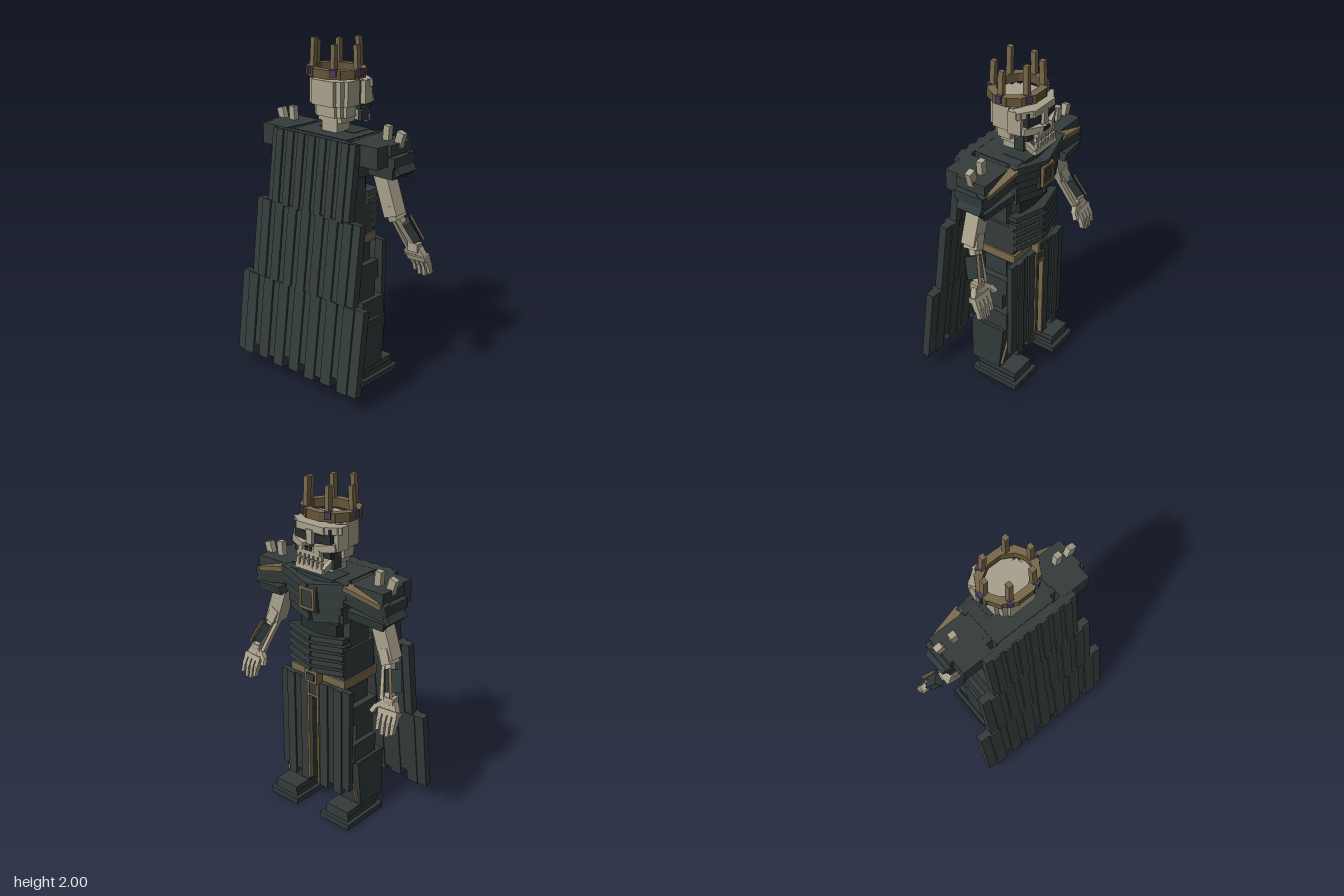
import * as THREE from 'three';

const mat = (name, color) => Object.assign(new THREE.MeshStandardMaterial({ color }), { name });

export function createModel() {
  const root = new THREE.Group();
  root.name = 'skeletonKing';
  const cloth = mat('dark cloth', 0x343c3b), dark = mat('dark armour', 0x303939);
  const bone = mat('bone', 0xa8a18d), gold = mat('old gold', 0x77684b);
  const bronze = mat('bronze', 0x63553a), gem = mat('purple gem', 0x4a3b5c);
  const hollow = mat('hollow', 0x262d2d);

  let part = root;
  const group = (name) => {
    part = new THREE.Group();
    part.name = name;
    root.add(part);
  };
  // box by size, centre and rotation
  const box = (name, m, [w, h, d], [x, y, z], [rx, ry, rz] = [0, 0, 0]) => {
    const mesh = new THREE.Mesh(new THREE.BoxGeometry(w, h, d), m);
    mesh.name = name;
    mesh.position.set(x, y, z);
    mesh.rotation.set(rx, ry, rz);
    part.add(mesh);
    return mesh;
  };
  // box and its mirror image across x = 0
  const pair = (name, m, size, [x, y, z], [rx, ry, rz] = [0, 0, 0]) => {
    for (const s of [1, -1]) box(name, m, size, [s * x, y, z], [rx, s * ry, s * rz]);
  };
  // mirrored bars that run from a to b, twisted about their length
  const barPair = (name, m, a, b, w, d, twist = 0) => {
    for (const s of [1, -1]) {
      const p = new THREE.Vector3(s * a[0], a[1], a[2]), q = new THREE.Vector3(s * b[0], b[1], b[2]);
      const dir = p.clone().sub(q);
      const mid = p.clone().add(q).multiplyScalar(0.5);
      const mesh = box(name, m, [w, dir.length(), d], mid.toArray());
      mesh.quaternion.setFromUnitVectors(new THREE.Vector3(0, 1, 0), dir.normalize());
      mesh.rotateY(s * twist);
    }
  };

  // Crown: twelve faceted ring segments, six spikes and gems
  group('crown');
  const cz = -0.08;
  for (let i = 0; i < 12; i++) {
    const a = (i / 12) * Math.PI * 2;
    box('crownBand', [bronze, bronze, gold, bronze, bronze, bronze], [0.088, 0.05, 0.042],
      [Math.sin(a) * 0.15, 1.815, cz + Math.cos(a) * 0.124], [0, a, 0]);
  }
  const spikeHeights = [0.165, 0.16, 0.19];
  for (let i = 0; i < 6; i++) {
    const a = Math.PI / 6 + (i / 6) * Math.PI * 2, h = spikeHeights[i % 3];
    const x = Math.sin(a) * 0.155, z = Math.cos(a) * 0.13;
    box('crownSpike', gold, [0.028, h, 0.03], [x * 0.95, 1.81 + h / 2, cz + z * 0.93],
      [-Math.cos(a) * 0.05, 0, Math.sin(a) * 0.05]);
    box('crownGem', gem, [0.034, 0.04, 0.03], [x * 1.08, 1.825, cz + z * 1.08], [0, a, 0]);
  }

  // Skull: cranium stepped to a round plan, brow, eye hollows, cheeks and jaw
  group('skull');
  for (const [w, d] of [[0.16, 0.21], [0.225, 0.165], [0.275, 0.1]]) {
    box('cranium', bone, [w, 0.14, d], [0, 1.705, -0.065]);
    box('craniumBase', bone, [w * 0.84, 0.07, d * 0.8], [0, 1.605, -0.07]);
  }
  box('neck', bone, [0.11, 0.12, 0.11], [0, 1.535, -0.075]);
  box('neckCollar', bone, [0.17, 0.05, 0.11], [0, 1.56, -0.08]);
  box('faceCore', hollow, [0.25, 0.16, 0.09], [0, 1.68, -0.185]);
  box('brow', bone, [0.19, 0.04, 0.1], [0, 1.752, -0.2]);
  pair('browSide', bone, [0.09, 0.04, 0.06], [0.115, 1.752, -0.19], [0, -0.6, 0]);
  pair('temple', bone, [0.03, 0.13, 0.075], [0.145, 1.705, -0.165], [0, 0.15, 0]);
  pair('eyeHollow', hollow, [0.075, 0.045, 0.01], [0.065, 1.7, -0.232], [0, -0.25, 0]);
  box('noseBridge', bone, [0.04, 0.08, 0.04], [0, 1.705, -0.238]);
  pair('cheekbone', bone, [0.12, 0.04, 0.05], [0.085, 1.655, -0.222], [0, -0.4, 0.12]);
  box('upperJaw', bone, [0.15, 0.035, 0.05], [0, 1.625, -0.235]);
  pair('noseHollow', hollow, [0.016, 0.024, 0.008], [0.014, 1.643, -0.262]);
  pair('cheekPlate', dark, [0.025, 0.09, 0.06], [0.115, 1.58, -0.175]);
  barPair('jawSide', bone, [0.115, 1.61, -0.15], [0.09, 1.535, -0.245], 0.025, 0.035);
  box('chin', bone, [0.19, 0.03, 0.035], [0, 1.53, -0.245], [0.25, 0, 0]);
  for (let i = 0; i < 6; i++) {
    const x = (i - 2.5) * 0.031;
    box('upperTooth', bone, [0.02, 0.028, 0.02], [x, 1.6, -0.248]);
    box('lowerTooth', bone, [0.02, 0.04, 0.02], [x, 1.558, -0.252]);
  }

  // Torso: chest, abdomen, rib plates and emblem
  group('torso');
  box('chest', cloth, [0.39, 0.24, 0.27], [0, 1.36, -0.075]);
  box('upperBack', cloth, [0.37, 0.15, 0.2], [0, 1.4, -0.025]);
  box('abdomen', cloth, [0.35, 0.26, 0.16], [0, 1.17, -0.05]);
  box('waist', cloth, [0.38, 0.2, 0.255], [0, 0.97, -0.062]);
  box('collar', dark, [0.26, 0.03, 0.14], [0, 1.468, -0.15]);
  for (let i = 0; i < 5; i++)
    pair('chestPlate', i % 2 ? dark : cloth, [0.24 - i * 0.018, 0.045, 0.06],
      [0.115 - i * 0.007, 1.445 - i * 0.047, -0.222 + i * 0.004], [0, -0.22, 0.16]);
  box('sternum', dark, [0.12, 0.15, 0.06], [0, 1.365, -0.238]);
  box('emblemPlate', cloth, [0.08, 0.1, 0.02], [0, 1.365, -0.27]);
  pair('emblemSide', gold, [0.015, 0.125, 0.025], [0.045, 1.365, -0.273]);
  for (const y of [1.31, 1.42]) box('emblemRail', gold, [0.105, 0.015, 0.025], [0, y, -0.273]);
  for (let i = 0; i < 5; i++) {
    const y = 1.125 - i * 0.048;
    pair('ribPlate', dark, [0.2, 0.028, 0.07], [0.095, y, -0.205], [0.2, -0.2, 0.12]);
    pair('ribTrim', bronze, [0.19, 0.008, 0.06], [0.095, y - 0.018, -0.203], [0.2, -0.2, 0.12]);
  }
  box('belly', hollow, [0.26, 0.28, 0.1], [0, 1.07, -0.14]);

  // Belt and buckle
  group('belt');
  box('beltBand', gold, [0.4, 0.05, 0.285], [0, 0.868, -0.06]);
  box('buckle', gold, [0.09, 0.08, 0.05], [0, 0.885, -0.235]);
  box('buckleInset', dark, [0.055, 0.045, 0.008], [0, 0.885, -0.262]);

  // Shoulders: layered pauldrons, gold trim and bone spikes
  group('shoulders');
  pair('pauldron', cloth, [0.19, 0.12, 0.26], [0.33, 1.42, -0.052]);
  pair('pauldronInner', cloth, [0.07, 0.11, 0.2], [0.215, 1.42, -0.075]);
  pair('pauldronCap', cloth, [0.22, 0.06, 0.18], [0.335, 1.45, -0.1]);
  pair('pauldronBand', dark, [0.26, 0.055, 0.18], [0.34, 1.385, -0.1]);
  pair('pauldronLower', dark, [0.17, 0.09, 0.17], [0.37, 1.335, -0.1]);
  pair('pauldronFlare', dark, [0.06, 0.05, 0.15], [0.45, 1.325, -0.11], [0, 0, 0.6]);
  barPair('pauldronFront', cloth, [0.2, 1.43, -0.2], [0.45, 1.37, -0.165], 0.1, 0.05);
  barPair('pauldronFrontLower', dark, [0.24, 1.33, -0.21], [0.45, 1.3, -0.17], 0.05, 0.05);
  barPair('pauldronTrim', gold, [0.215, 1.47, -0.216], [0.435, 1.408, -0.178], 0.03, 0.05);
  pair('shoulderSpike', bone, [0.04, 0.09, 0.035], [0.35, 1.515, -0.1], [0, 0, -0.08]);
  pair('outerShoulderSpike', bone, [0.045, 0.09, 0.035], [0.435, 1.495, -0.1], [0, 0, -0.3]);

  // Arms with bracers turned outward and forward
  group('arms');
  barPair('upperArm', bone, [0.34, 1.32, -0.08], [0.425, 1.07, -0.085], 0.09, 0.085);
  barPair('elbow', bone, [0.4, 1.13, -0.085], [0.435, 1.05, -0.1], 0.06, 0.09);
  barPair('forearm', bone, [0.42, 1.1, -0.085], [0.5, 0.88, -0.185], 0.04, 0.04);
  barPair('innerForearm', bone, [0.385, 1.1, -0.08], [0.45, 0.87, -0.18], 0.022, 0.03);
  barPair('bracer', dark, [0.47, 1.035, -0.122], [0.51, 0.93, -0.17], 0.045, 0.09, Math.PI / 4);
  barPair('bracerTrim', gold, [0.475, 1.06, -0.16], [0.53, 0.92, -0.215], 0.012, 0.016, Math.PI / 4);

  // Hands: hand bones, knuckles, four jointed fingers and a thumb
  group('hands');
  pair('knuckles', bone, [0.125, 0.03, 0.05], [0.51, 0.82, -0.195], [0.35, 0, 0.06]);
  pair('wrist', bone, [0.065, 0.05, 0.05], [0.5, 0.88, -0.175]);
  for (let i = 0; i < 4; i++) {
    const x = 0.463 + i * 0.032, dip = i === 3 || i === 0 ? 0.02 : 0;
    barPair('handBone', bone, [0.485 + i * 0.014, 0.88, -0.178], [x, 0.82, -0.195], 0.024, 0.035);
    barPair('fingerBase', bone, [x, 0.83, -0.195], [x + 0.004, 0.765, -0.225], 0.025, 0.034);
    barPair('fingerTip', bone, [x + 0.004, 0.775, -0.225], [x + 0.005, 0.7 + dip, -0.238], 0.021, 0.028);
  }
  barPair('thumbBase', bone, [0.47, 0.87, -0.18], [0.425, 0.83, -0.2], 0.027, 0.03);
  barPair('thumbTip', bone, [0.428, 0.838, -0.2], [0.41, 0.8, -0.225], 0.024, 0.026);

  // Legs: stacked segments, sloping shin guards with a gold strip and stepped boots
  group('legs');
  box('hips', cloth, [0.38, 0.12, 0.17], [0, 0.79, -0.075]);
  pair('upperThigh', cloth, [0.16, 0.14, 0.15], [0.12, 0.77, -0.075]);
  pair('thigh', cloth, [0.18, 0.11, 0.21], [0.15, 0.675, -0.072]);
  pair('knee', cloth, [0.15, 0.12, 0.15], [0.165, 0.57, -0.075]);
  pair('kneeGuard', cloth, [0.18, 0.12, 0.19], [0.18, 0.455, -0.105]);
  pair('shin', dark, [0.19, 0.3, 0.19], [0.195, 0.25, -0.06]);
  barPair('shinGuard', dark, [0.195, 0.4, -0.17], [0.195, 0.105, -0.14], 0.19, 0.04);
  barPair('shinStrip', gold, [0.205, 0.4, -0.19], [0.272, 0.12, -0.165], 0.014, 0.024);
  pair('ankle', cloth, [0.16, 0.08, 0.16], [0.2, 0.09, -0.08]);
  pair('bootSole', dark, [0.215, 0.035, 0.315], [0.2, 0.0175, -0.137]);
  pair('bootMiddle', cloth, [0.17, 0.03, 0.26], [0.2, 0.05, -0.14]);
  pair('bootTop', cloth, [0.16, 0.035, 0.2], [0.2, 0.08, -0.17]);

  // Front skirt: hanging panels edged in gold
  group('skirt');
  for (let i = 0; i < 4; i++)
    pair('skirtPanel', i % 2 ? dark : cloth, [0.056, 0.68 - (i % 2) * 0.04, 0.035],
      [0.072 + i * 0.052, 0.51 + (i % 2) * 0.02, -0.22 + (i % 2) * 0.01]);
  pair('skirtTrim', gold, [0.014, 0.66, 0.03], [0.035, 0.52, -0.23]);
  box('skirtClasp', gold, [0.085, 0.015, 0.03], [0, 0.76, -0.23]);
  box('skirtCentre', dark, [0.06, 0.1, 0.03], [0, 0.81, -0.225]);

  // Cape: three tiers of sloping planks with raised ridges, widening downward
  group('cape');
  const tilt = Math.atan(0.125);
  const plank = (name, w, top, bottom, x, lift, depth) => {
    const y = (top + bottom) / 2;
    box(name, cloth, [w, (top - bottom) / Math.cos(tilt), depth],
      [x, y, 0.09 + (1.48 - y) * 0.125 + lift], [-tilt, 0, 0]);
  };
  const hem = [0, 0.065, 0.03, 0.065, 0.065, 0.03, 0.065, 0];
  [[0.305, 1.48, 1.05], [0.39, 1.06, 0.6], [0.468, 0.6, 0.1]].forEach(([half, top, low], t) => {
    const pitch = half / 3.8;
    for (let i = 0; i < 8; i++) {
      const outer = i === 0 || i === 7;
      plank('capePlank', pitch * (outer ? 0.8 : 1), top, low + (t === 2 ? hem[i] : 0),
        (i - 3.5) * pitch * (outer ? 3.4 / 3.5 : 1), 0, 0.047);
    }
    for (let i = 0; i < 7; i++)
      plank('capeRidge', pitch * 0.6, top, low + (t === 2 && i % 2 ? 0.01 : 0), (i - 3) * pitch, 0.003, 0.064);
  });
  return root;
}
